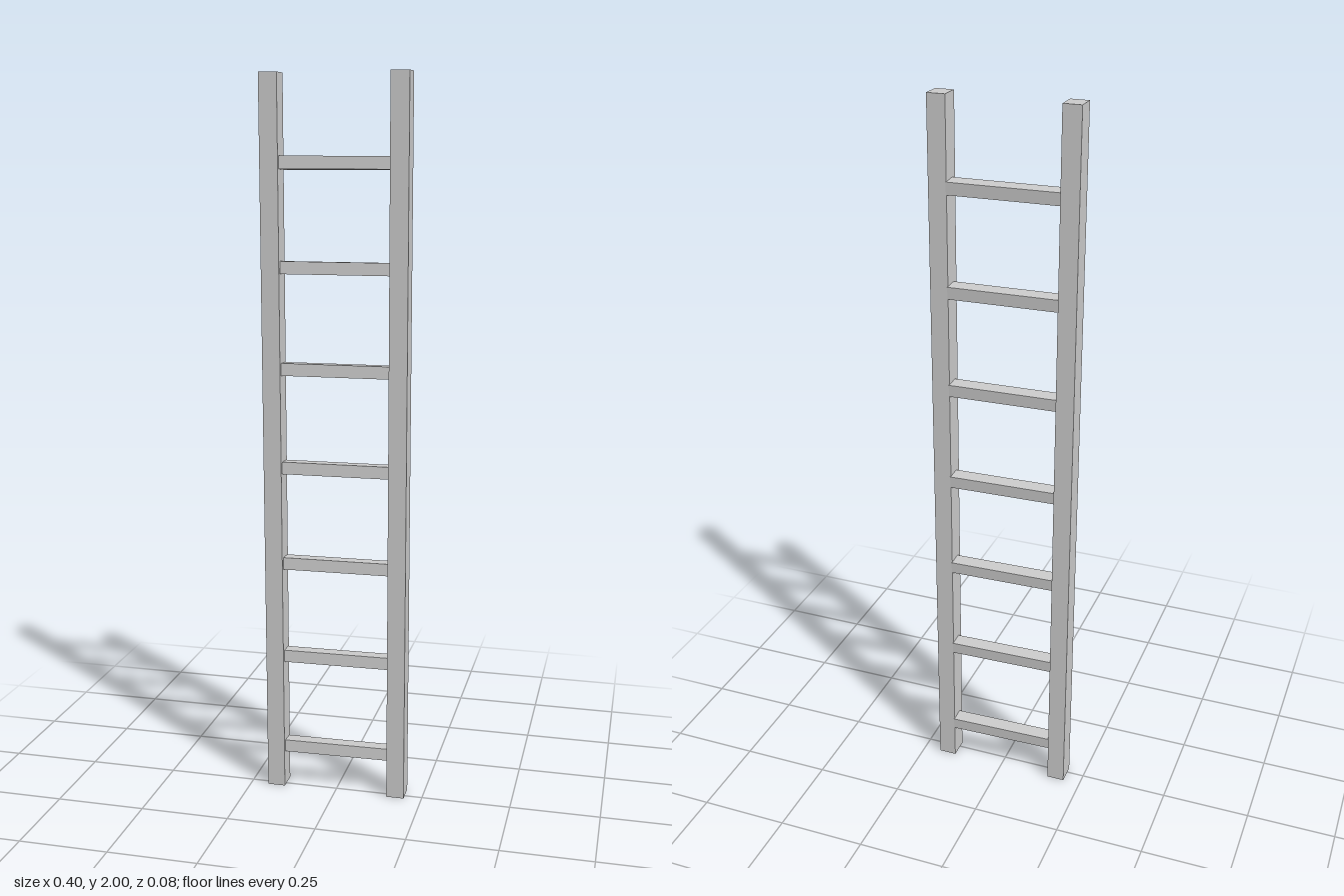
import * as THREE from 'three';

export function createModel() {
  const model = new THREE.Group();
  model.name = 'ladder';
  const material = new THREE.MeshStandardMaterial({ color: 0xcccccc, flatShading: true });
  const lean = 0.011; // the top tips slightly forward

  // Two square-ended side rails
  const railGeometry = new THREE.BoxGeometry(0.05, 2, 0.058);
  for (const side of [-1, 1]) {
    const rail = new THREE.Mesh(railGeometry, material);
    rail.name = side > 0 ? 'leftRail' : 'rightRail';
    rail.position.set(side * 0.175, 1, 0);
    rail.rotation.x = lean;
    model.add(rail);
  }

  // Evenly spaced rungs, set a little askew between the rails
  const rungGeometry = new THREE.BoxGeometry(0.304, 0.034, 0.042);
  for (let i = 0; i < 7; i++) {
    const y = 0.119 + i * 0.275;
    const rung = new THREE.Mesh(rungGeometry, material);
    rung.name = `rung${i + 1}`;
    rung.position.set(0, y, (y - 1) * lean - 0.006);
    rung.rotation.set(-0.06, 0.023, 0);
    model.add(rung);
  }

  return model;
}
